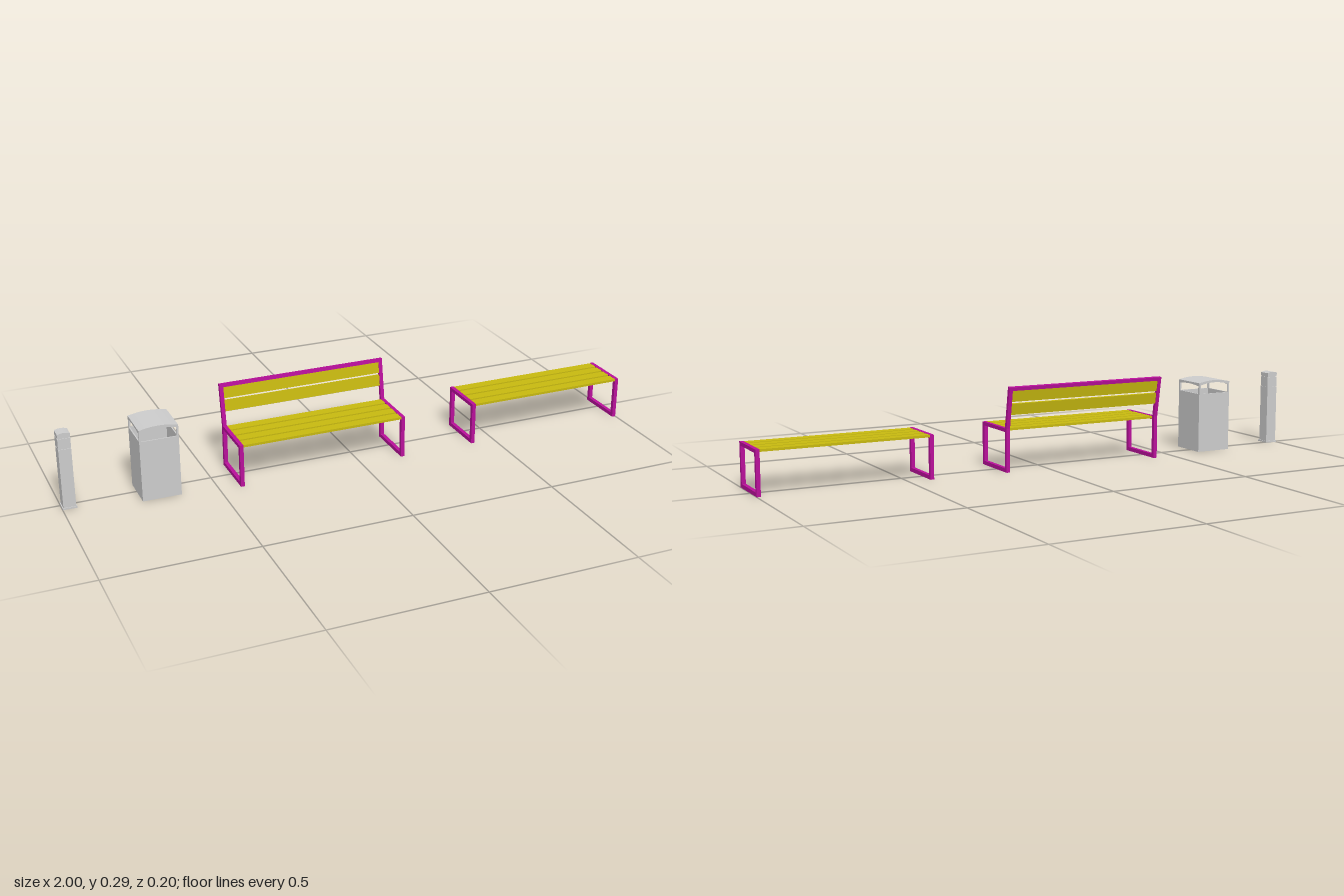
import * as THREE from 'three';

const grey = new THREE.MeshStandardMaterial({ color: 0xcccccc });
const yellow = new THREE.MeshStandardMaterial({ color: 0xc6b810 });
const magenta = new THREE.MeshStandardMaterial({ color: 0xb8109a });

const BAR = 0.013, LENGTH = 0.587, SEAT_Y = 0.147, FRONT_Z = 0.102;

function add(parent, name, geometry, material, x = 0, y = 0, z = 0) {
  const mesh = new THREE.Mesh(geometry, material);
  mesh.name = name;
  mesh.position.set(x, y, z);
  parent.add(mesh);
  return mesh;
}

const box = (w, h, d) => new THREE.BoxGeometry(w, h, d);

// Closed outline with straight sides and an arched top edge
function archedOutline(x0, x1, y0, y1, rise, Type = THREE.Shape) {
  const s = new Type();
  s.moveTo(x0, y0);
  s.lineTo(x1, y0);
  s.lineTo(x1, y1);
  if (rise > 0) s.quadraticCurveTo((x0 + x1) / 2, y1 + 2 * rise, x0, y1);
  else s.lineTo(x0, y1);
  s.closePath();
  return s;
}

// Extrusion centred on its own depth
function plate(shape, depth) {
  const g = new THREE.ExtrudeGeometry(shape, { depth, bevelEnabled: false, curveSegments: 12 });
  return g.translate(0, 0, -depth / 2);
}

// Rectangular hoop of flat bar standing at each end of a bench
function hoop(backZ) {
  const s = archedOutline(backZ, FRONT_Z, 0, SEAT_Y, 0);
  s.holes.push(archedOutline(backZ + BAR, FRONT_Z - BAR, BAR, SEAT_Y - BAR + 0.001, 0, THREE.Path));
  return plate(s, BAR).rotateY(-Math.PI / 2);
}

function makeBench(name, hasBack) {
  const bench = new THREE.Group();
  bench.name = name;
  const inner = LENGTH - 2 * BAR, endX = (LENGTH - BAR) / 2;
  const backZ = hasBack ? -0.078 : -0.067;
  for (const side of [-1, 1]) add(bench, 'legFrame', hoop(backZ), magenta, side * endX);
  for (let i = 0; i < 4; i++) {
    add(bench, 'seatSlat', box(inner, 0.008, 0.035), yellow, 0, SEAT_Y - 0.0045, 0.083 - i * 0.0435);
  }
  if (hasBack) {
    // Leaning back: two posts, top rail and two slats
    const back = new THREE.Group();
    back.name = 'backrest';
    back.position.set(0, SEAT_Y, -0.0718);
    back.rotation.x = -0.168;
    for (const side of [-1, 1]) add(back, 'backPost', box(BAR, 0.146, 0.012), magenta, side * endX, 0.069);
    add(back, 'topRail', box(inner, 0.012, 0.012), magenta, 0, 0.136);
    for (const y of [0.066, 0.111]) add(back, 'backSlat', box(inner, 0.038, 0.008), yellow, 0, y);
    bench.add(back);
  }
  return bench;
}

function makeBin() {
  const bin = new THREE.Group();
  bin.name = 'litterBin';
  const w = 0.129, h = w / 2, t = 0.004, sill = 0.208, eave = 0.243, rise = 0.008;
  for (const side of [-1, 1]) {
    // Front and back panels with arched openings
    const face = archedOutline(-h, h, 0, eave, rise);
    face.holes.push(archedOutline(-h + 0.007, h - 0.007, sill, eave - 0.004, rise, THREE.Path));
    add(bin, 'endPanel', plate(face, t), grey, 0, 0, side * (h - t / 2));
    // Side panels
    const e = h - t;
    const flank = archedOutline(-e, e, 0, eave, 0);
    flank.holes.push(archedOutline(-e + 0.003, e - 0.003, sill, eave - 0.007, 0.004, THREE.Path));
    add(bin, 'sidePanel', plate(flank, t).rotateY(Math.PI / 2), grey, side * (h - t / 2));
  }
  add(bin, 'floor', box(w - 2 * t, 0.004, w - 2 * t), grey, 0, 0.002);
  // Thin vaulted roof
  const roof = new THREE.Shape();
  roof.moveTo(-h, eave);
  roof.quadraticCurveTo(0, eave + 2 * rise, h, eave);
  roof.lineTo(h, eave + 0.004);
  roof.quadraticCurveTo(0, eave + 0.004 + 2 * rise, -h, eave + 0.004);
  roof.closePath();
  add(bin, 'roof', plate(roof, w), grey);
  return bin;
}

function makeBollard() {
  const bollard = new THREE.Group();
  bollard.name = 'bollard';
  const w = 0.041;
  // Hollow base plate and post
  const square = (size, hole) => {
    const s = archedOutline(-size / 2, size / 2, -size / 2, size / 2, 0);
    s.holes.push(archedOutline(-hole / 2, hole / 2, -hole / 2, hole / 2, 0, THREE.Path));
    return s;
  };
  add(bollard, 'basePlate', plate(square(0.047, 0.035), 0.006).rotateX(-Math.PI / 2), grey, 0, 0.003);
  add(bollard, 'post', plate(square(w, 0.035), 0.201).rotateX(-Math.PI / 2), grey, 0, 0.1065);
  // Lamp head between two shadow gaps
  add(bollard, 'lampCore', box(0.036, 0.044, 0.036), grey, 0, 0.226);
  add(bollard, 'lamp', box(w, 0.034, w), grey, 0, 0.2265);
  // Vaulted cap
  add(bollard, 'cap', plate(archedOutline(-w / 2, w / 2, 0.246, 0.259, 0.004), w), grey);
  return bollard;
}

export function createModel() {
  const model = new THREE.Group();
  model.name = 'streetFurniture';
  const place = (part, x, z) => {
    part.position.set(x, 0, z);
    model.add(part);
  };
  place(makeBollard(), -0.9765, 0.012);
  place(makeBin(), -0.687, 0.012);
  place(makeBench('benchWithBack', true), -0.1365, 0);
  place(makeBench('backlessBench', false), 0.7065, 0);
  return model;
}
